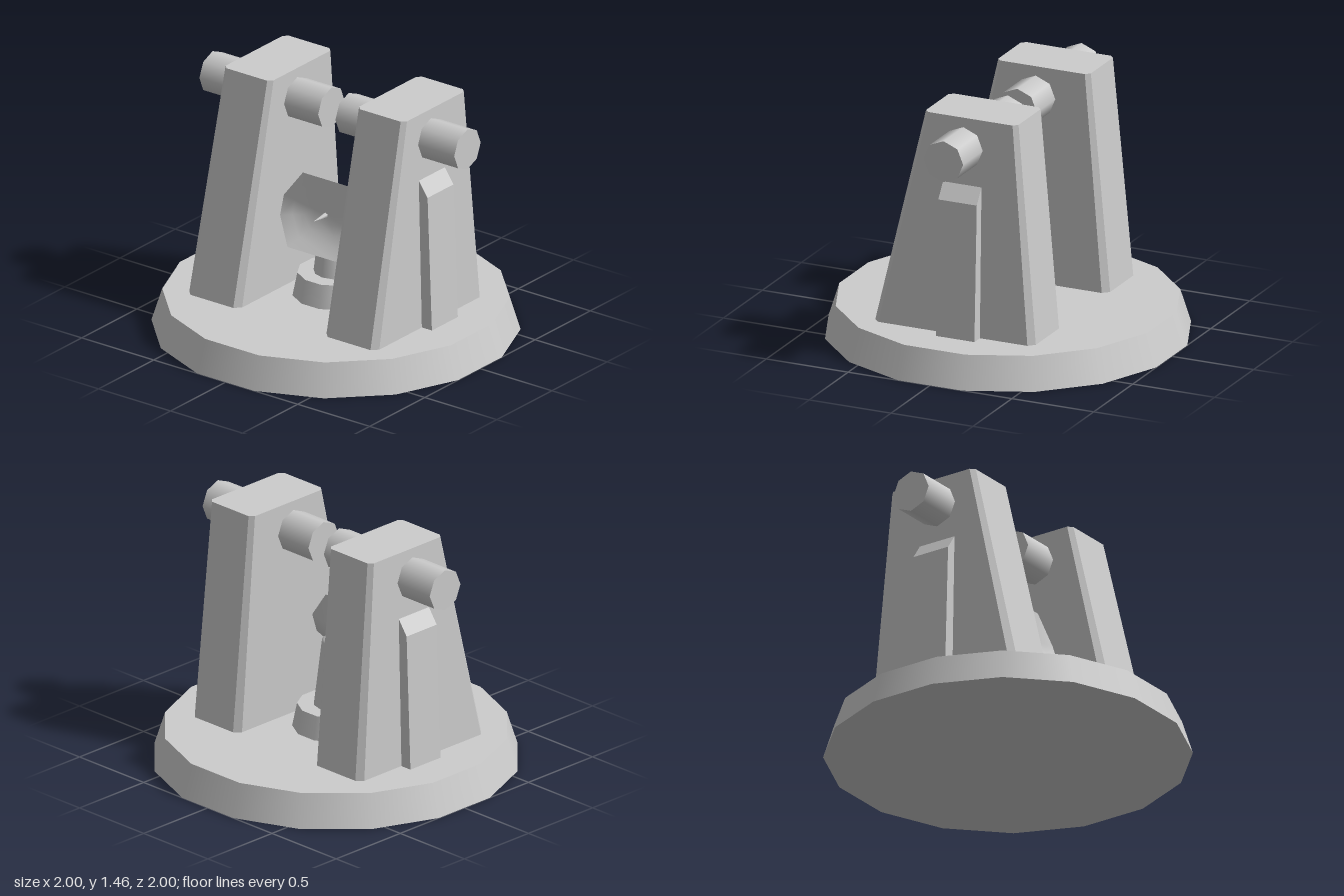
import * as THREE from 'three';

const grey = new THREE.MeshStandardMaterial({ color: 0xcccccc, side: THREE.DoubleSide });
grey.name = 'grey';

function add(parent, name, geometry, x = 0, y = 0, z = 0) {
  const mesh = new THREE.Mesh(geometry, grey);
  mesh.name = name;
  mesh.position.set(x, y, z);
  parent.add(mesh);
  return mesh;
}

// Rectangle with cut corners, counter-clockwise seen from above
function section(y, xa, xb, z0, z1, c = 0) {
  const x0 = Math.min(xa, xb), x1 = Math.max(xa, xb);
  const pts = c
    ? [[x0 + c, z1], [x1 - c, z1], [x1, z1 - c], [x1, z0 + c], [x1 - c, z0], [x0 + c, z0], [x0, z0 + c], [x0, z1 - c]]
    : [[x0, z1], [x1, z1], [x1, z0], [x0, z0]];
  return pts.map(([x, z]) => [x, y, z]);
}

// Flat-shaded solid through a stack of sections
function loft(sections) {
  const pos = [];
  const tri = (a, b, c) => pos.push(...a, ...b, ...c);
  const n = sections[0].length;
  for (let s = 0; s < sections.length - 1; s++) {
    const lo = sections[s], hi = sections[s + 1];
    for (let i = 0; i < n; i++) {
      const j = (i + 1) % n;
      tri(lo[i], lo[j], hi[j]);
      tri(lo[i], hi[j], hi[i]);
    }
  }
  const bottom = sections[0], top = sections[sections.length - 1];
  for (let i = 1; i < n - 1; i++) {
    tri(bottom[0], bottom[i + 1], bottom[i]);
    tri(top[0], top[i], top[i + 1]);
  }
  const g = new THREE.BufferGeometry();
  g.setAttribute('position', new THREE.Float32BufferAttribute(pos, 3));
  g.computeVertexNormals();
  return g;
}

// Shallow smooth bowl from an eight-cornered rim
function bowl(rim, centre, rings = 4) {
  const pos = [...centre], index = [], n = rim.length;
  for (let r = 1; r <= rings; r++) {
    const t = r / rings;
    for (const [x, y, z] of rim) {
      pos.push(x * t, centre[1] + (y - centre[1]) * t, centre[2] + (z - centre[2]) * t * t);
    }
  }
  for (let i = 0; i < n; i++) {
    const j = (i + 1) % n;
    index.push(0, 1 + i, 1 + j);
    for (let r = 0; r < rings - 1; r++) {
      const a = 1 + r * n + i, b = 1 + r * n + j;
      index.push(a, a + n, b + n, a, b + n, b);
    }
  }
  const g = new THREE.BufferGeometry();
  g.setAttribute('position', new THREE.Float32BufferAttribute(pos, 3));
  g.setIndex(index);
  g.computeVertexNormals();
  return g;
}

export function createModel() {
  const model = new THREE.Group();
  model.name = 'twinTowerStation';

  // Sixteen-sided tapered base
  add(model, 'base', new THREE.CylinderGeometry(0.96, 1.02, 0.19, 16).rotateY(Math.PI / 16), 0, 0.095, 0);

  // Towers with cut corners, an outer rib and a cross axle
  for (const s of [-1, 1]) {
    const tower = new THREE.Group();
    tower.name = s > 0 ? 'leftTower' : 'rightTower';
    tower.position.x = 0.005;
    add(tower, 'towerBody', loft([
      section(0.19, s * 0.293, s * 0.66, -0.47, 0.51, 0.035),
      section(1.455, s * 0.297, s * 0.63, -0.355, 0.21, 0.025),
    ]));
    add(tower, 'outerRib', loft([
      section(0.19, s * 0.6, s * 0.73, -0.145, 0.09),
      section(0.98, s * 0.6, s * 0.7, -0.145, 0.09),
      section(1.07, s * 0.6, s * 0.637, -0.145, 0.09),
    ]));
    add(tower, 'axle', new THREE.CylinderGeometry(0.12, 0.12, 0.825, 8).rotateZ(Math.PI / 2), s * 0.4725, 1.28, -0.03);
    model.add(tower);
  }

  // Pedestal and stem carrying the dish
  add(model, 'pedestal', new THREE.CylinderGeometry(0.215, 0.243, 0.14, 12).rotateY(Math.PI / 12), 0, 0.255, 0);
  add(model, 'stem', new THREE.CylinderGeometry(0.08, 0.125, 0.38, 12), 0, 0.51, 0);
  const cap = add(model, 'stemCap', new THREE.SphereGeometry(0.08, 12, 4, 0, Math.PI * 2, 0, Math.PI / 2), 0, 0.7, 0);
  cap.scale.y = 0.4;

  // Dish leaning back, with a small spike at its centre
  const half = [[0.165, 0.5, 0.225], [0.285, 0.63, 0.135], [0.285, 0.74, 0.1], [0.165, 0.9, 0.085]];
  const rim = [...half, ...half.map(([x, y, z]) => [-x, y, z]).reverse()];
  add(model, 'dish', bowl(rim, [0, 0.69, 0.095]));
  add(model, 'dishSpike', new THREE.ConeGeometry(0.016, 0.11, 6).rotateX(Math.PI / 2), 0, 0.69, 0.15);

  return model;
}
